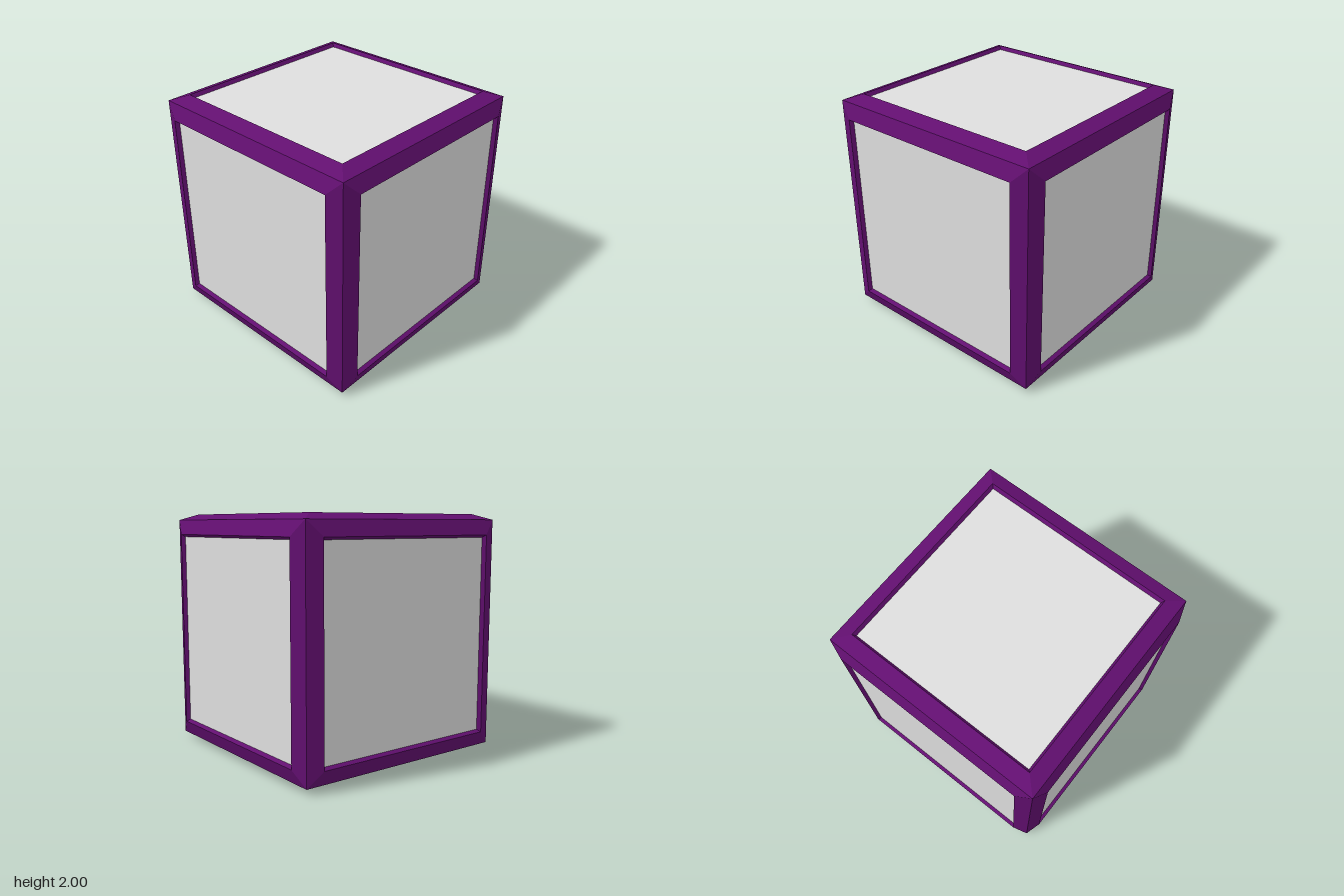
import * as THREE from 'three';

// Square ring swept from a [halfWidth, height] profile, flat shaded
function squareRing(profile) {
  const points = profile.map(([half, y]) => new THREE.Vector2(half * Math.SQRT2, y));
  const geometry = new THREE.LatheGeometry(points, 4, Math.PI / 4).toNonIndexed();
  geometry.computeVertexNormals();
  return geometry;
}

export function createModel() {
  const purple = new THREE.MeshStandardMaterial({ color: 0x620f70 });
  purple.name = 'purple frame';
  const grey = new THREE.MeshStandardMaterial({ color: 0xdedede });
  grey.name = 'light grey panel';

  // Outer cube edge, raised rim, then a short sloped wall down to the panel
  const frameGeometry = squareRing([[0.953, 0.953], [0.83, 1], [0.81, 0.97]]);
  const panelGeometry = new THREE.PlaneGeometry(1.62, 1.62);
  panelGeometry.rotateX(-Math.PI / 2);
  panelGeometry.translate(0, 0.97, 0);

  const model = new THREE.Group();
  model.name = 'framedCube';
  const up = new THREE.Vector3(0, 1, 0);
  const sides = {
    top: [0, 1, 0], bottom: [0, -1, 0],
    front: [0, 0, 1], back: [0, 0, -1],
    left: [1, 0, 0], right: [-1, 0, 0],
  };

  // One bevelled frame and one recessed panel on each side
  for (const [name, normal] of Object.entries(sides)) {
    const side = new THREE.Group();
    side.name = name + 'Side';
    const frame = new THREE.Mesh(frameGeometry, purple);
    frame.name = name + 'Frame';
    const panel = new THREE.Mesh(panelGeometry, grey);
    panel.name = name + 'Panel';
    side.add(frame, panel);
    side.quaternion.setFromUnitVectors(up, new THREE.Vector3(...normal));
    side.position.y = 1;
    model.add(side);
  }
  return model;
}
